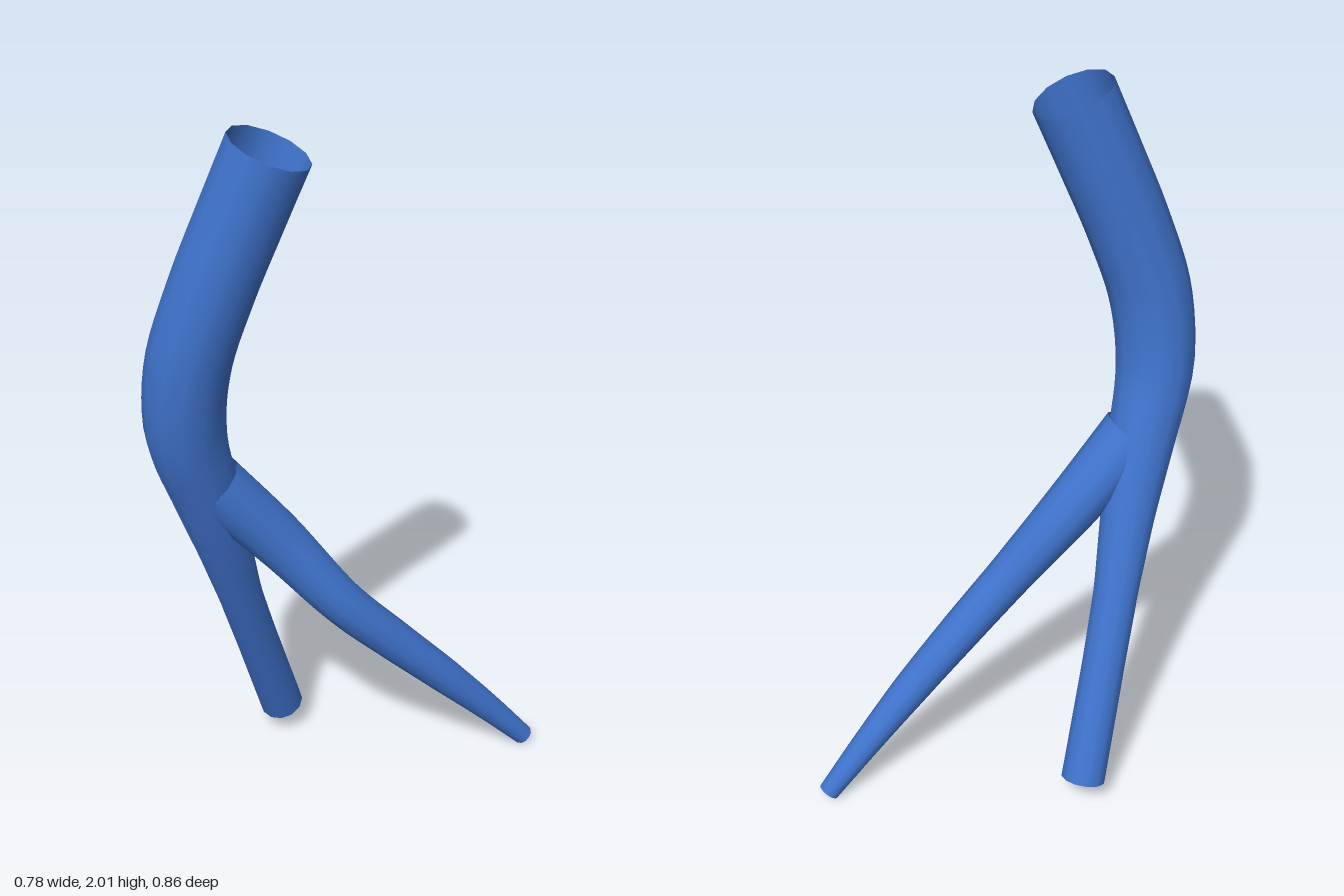
import * as THREE from 'three';

const SIDES = 12;

// Open tapered tube; each control point is [x, y, z, radius], with y falling along the path.
function taperedTube(name, stations, segments, material) {
  const path = new THREE.CatmullRomCurve3(stations.map(([x, y, z]) => new THREE.Vector3(x, y, z)));
  const radiusAt = (y) => {
    let i = 0;
    while (i < stations.length - 2 && y < stations[i + 1][1]) i++;
    const a = stations[i], b = stations[i + 1];
    const t = THREE.MathUtils.clamp((a[1] - y) / (a[1] - b[1]), 0, 1);
    return THREE.MathUtils.lerp(a[3], b[3], t);
  };

  const geometry = new THREE.TubeGeometry(path, segments, 1, SIDES, false);
  const position = geometry.attributes.position;
  const vertex = new THREE.Vector3();
  for (let ring = 0; ring <= segments; ring++) {
    const centre = path.getPointAt(ring / segments);
    const radius = radiusAt(centre.y);
    for (let j = 0; j <= SIDES; j++) {
      const k = ring * (SIDES + 1) + j;
      vertex.fromBufferAttribute(position, k).sub(centre).multiplyScalar(radius).add(centre);
      position.setXYZ(k, vertex.x, vertex.y, vertex.z);
    }
  }
  const mesh = new THREE.Mesh(geometry, material);
  mesh.name = name;
  return mesh;
}

export function createModel() {
  const group = new THREE.Group();
  group.name = 'branchingTube';
  const blue = new THREE.MeshStandardMaterial({ color: 0x3f73cc, side: THREE.DoubleSide });
  blue.name = 'blue';

  // Main tube: wide at the top, bowing forward, then narrowing below the fork
  group.add(taperedTube('mainTube', [
    [-0.077, 1.967, 0.226, 0.108],
    [-0.14, 1.79, 0.262, 0.108],
    [-0.205, 1.6, 0.3, 0.108],
    [-0.263, 1.4, 0.325, 0.108],
    [-0.29, 1.2, 0.309, 0.105],
    [-0.285, 1.0, 0.243, 0.092],
    [-0.283, 0.8, 0.17, 0.075],
    [-0.287, 0.6, 0.092, 0.062],
    [-0.289, 0.4, 0.01, 0.06],
    [-0.29, 0.083, -0.121, 0.062],
  ], 48, blue));

  // Side branch: leaves the main tube at the fork and tapers to a thin tip
  group.add(taperedTube('sideBranch', [
    [-0.262, 1.02, 0.238, 0.084],
    [-0.14, 0.82, 0.118, 0.075],
    [0.0, 0.605, 0.015, 0.062],
    [0.1, 0.455, -0.09, 0.057],
    [0.2, 0.3, -0.205, 0.05],
    [0.29, 0.15, -0.315, 0.039],
    [0.364, 0.02, -0.405, 0.029],
  ], 36, blue));

  return group;
}
